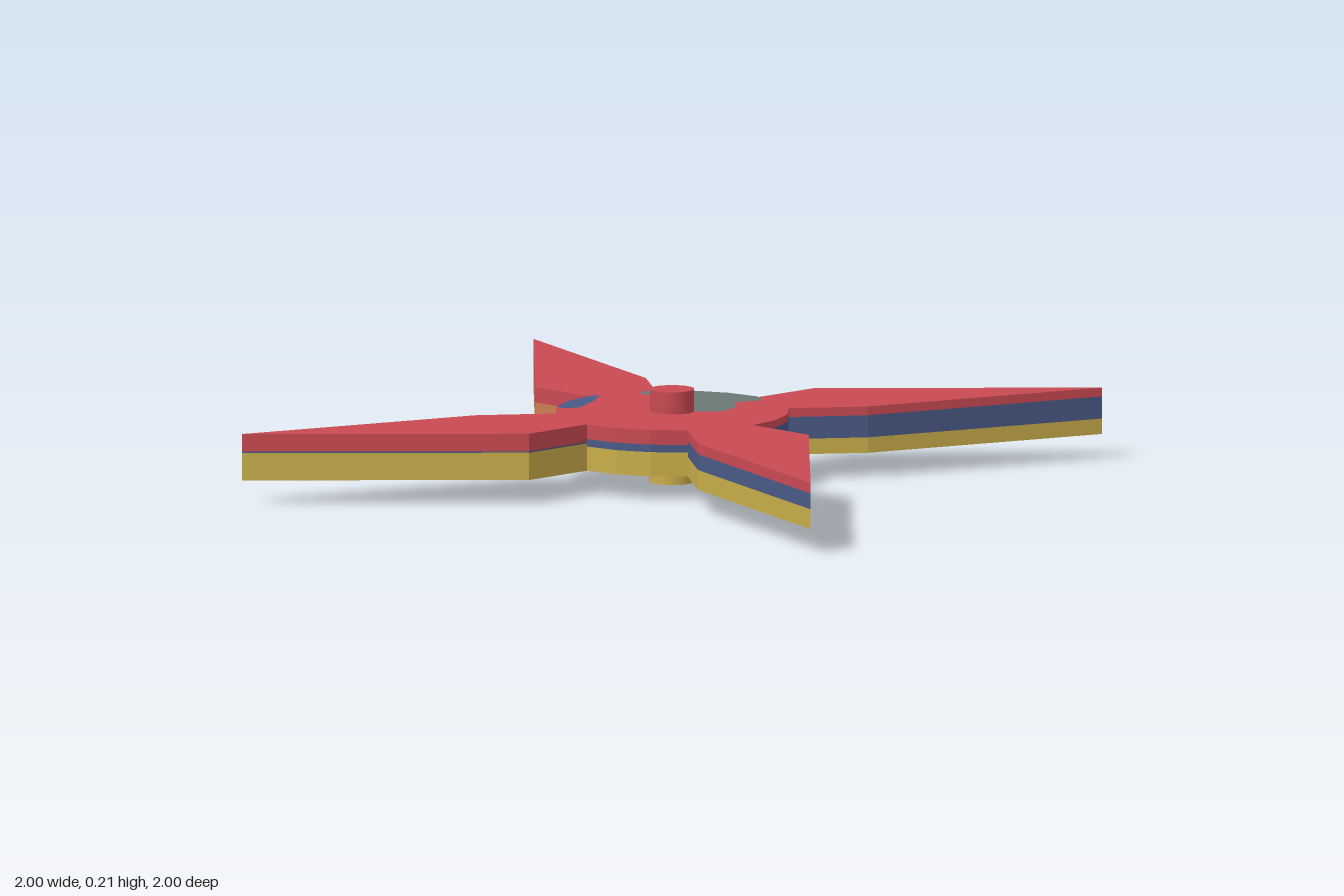
import * as THREE from 'three';

const LOW = 0.055, HIGH = 0.16, PIN = 0.05;

function paint(name, color) {
  const m = new THREE.MeshStandardMaterial({ color });
  m.name = name;
  return m;
}

// quarter turn about the vertical axis, from +x towards +z
function turn([x, z], k) {
  for (let i = 0; i < k; i++) [x, z] = [-z, x];
  return [x, z];
}

const blade = [[0.25, -0.081], [0.42, -0.137], [1, 0.137], [0.42, 0.137], [0.25, 0.081]];
const arc = [[0.25, 0.081], [0.212, 0.154], [0.154, 0.212], [0.081, 0.25]];

export function createModel() {
  const root = new THREE.Group();
  root.name = 'fourBladedSpinner';
  const red = paint('red', 0xc94a53), blue = paint('blue', 0x4a5a87);
  const yellow = paint('yellow', 0xc9ad4a), orange = paint('orange', 0xcb7d52);
  const grey = paint('grey', 0x6b7876), dark = paint('dark umber', 0x40241f);

  const add = (name, geometry, material) => {
    const mesh = new THREE.Mesh(geometry, material);
    mesh.name = name;
    root.add(mesh);
    return mesh;
  };

  // vertical strip along a line of [x, z] points
  const strip = (name, pts, lo, hi, material) => {
    const pos = [], index = [];
    for (let i = 0; i + 1 < pts.length; i++) {
      const [a, b] = pts[i], [c, d] = pts[i + 1], n = i * 4;
      pos.push(a, lo, b, a, hi, b, c, hi, d, c, lo, d);
      index.push(n, n + 1, n + 2, n, n + 2, n + 3);
    }
    const g = new THREE.BufferGeometry();
    g.setAttribute('position', new THREE.Float32BufferAttribute(pos, 3));
    g.setIndex(index);
    g.computeVertexNormals();
    add(name, g, material);
  };

  // horizontal face from [x, z] points, looking up or down
  const face = (name, pts, y, up, material) => {
    const s = up ? -1 : 1;
    const g = new THREE.ShapeGeometry(new THREE.Shape(pts.map(([x, z]) => new THREE.Vector2(x, z * s))));
    g.rotateX(s * Math.PI / 2);
    g.translate(0, y, 0);
    add(name, g, material);
  };

  // edge colours from the bottom up: [material, upper height]
  const layers = (y, b) => [[yellow, y], [blue, b], [red, HIGH]];
  const edges = [
    { lead: layers(0.09, 0.137), trail: layers(0.09, 0.14), hub: layers(0.087, 0.143) },
    { lead: layers(0.1, 0.136), trail: layers(0.1, 0.136), hub: layers(0.11, 0.127) },
    { lead: layers(0.117, 0.12), trail: [[yellow, 0.115], [red, HIGH]], hub: [[orange, 0.07], [yellow, 0.12], [red, HIGH]] },
    { lead: [[orange, 0.125], [red, HIGH]], trail: [[orange, 0.135], [red, HIGH]], hub: [[orange, 0.145], [red, HIGH]] },
  ];
  const names = ['left', 'front', 'right', 'back'];

  const outline = [];
  edges.forEach((edge, k) => {
    const b = blade.map(p => turn(p, k)), a = arc.map(p => turn(p, k));
    outline.push(...b, a[1], a[2]);
    const lines = { lead: b.slice(0, 3), trail: b.slice(2), hub: a };
    for (const part in lines) {
      let lo = LOW;
      for (const [material, hi] of edge[part]) {
        strip(`${names[k]} ${part} edge ${material.name}`, lines[part], lo, hi, material);
        lo = hi;
      }
    }
  });

  // flat top and underside
  face('topFace', outline, HIGH, true, red);
  face('underside', outline, LOW, false, yellow);

  // patches on top of the hub
  face('greyHubPatch', [[0.04, -0.25], [0.081, -0.25], [0.154, -0.212], [0.212, -0.154], [0.25, -0.081],
    [0.24, -0.03], [0.17, -0.03], [0.145, 0.03], [0.1, 0.06], [0.06, 0.055], [0.03, 0.03],
    [0.05, -0.02], [0.09, -0.07], [0.09, -0.14], [0.07, -0.18], [0.03, -0.22]], HIGH + 0.002, true, grey);
  face('blueHubPatch', [[-0.212, -0.154], [-0.154, -0.212], [-0.081, -0.25], [-0.06, -0.245],
    [-0.1, -0.19], [-0.17, -0.12], [-0.21, -0.125]], HIGH + 0.002, true, blue);

  // patches under the hub and the back blade
  face('orangeUnderside', [...blade.map(p => turn(p, 3)), [0.154, -0.212], [0.212, -0.154], [0.25, -0.081],
    [0.165, 0.01], [0.08, -0.06], [-0.02, -0.133]], LOW - 0.002, false, orange);
  face('darkBladePatch', [[-0.081, -0.25], [-0.137, -0.42], [-0.04, -0.64], [-0.06, -0.44],
    [-0.02, -0.3], [-0.03, -0.17], [-0.06, -0.17]], LOW - 0.004, false, dark);
  face('blueUndersidePatch', [[-0.06, -0.14], [-0.14, -0.2], [-0.212, -0.154], [-0.25, -0.081],
    [-0.25, -0.01], [-0.19, 0.01], [-0.14, -0.03], [-0.12, -0.09]], LOW - 0.003, false, blue);

  // centre pin
  const upper = add('pinTop', new THREE.CylinderGeometry(PIN, PIN, 0.055, 20), red);
  upper.position.y = 0.1825;
  const start = 1.2, sweep = 1.85;
  const side = (name, from, length, material) => {
    add(name, new THREE.CylinderGeometry(PIN, PIN, 0.06, 16, 1, true, from, length), material).position.y = 0.03;
  };
  side('pinOrangeSide', start, sweep, orange);
  side('pinYellowSide', start + sweep, Math.PI * 2 - sweep, yellow);
  add('pinEnd', new THREE.CircleGeometry(PIN, 20).rotateX(Math.PI / 2), yellow);

  return root;
}
